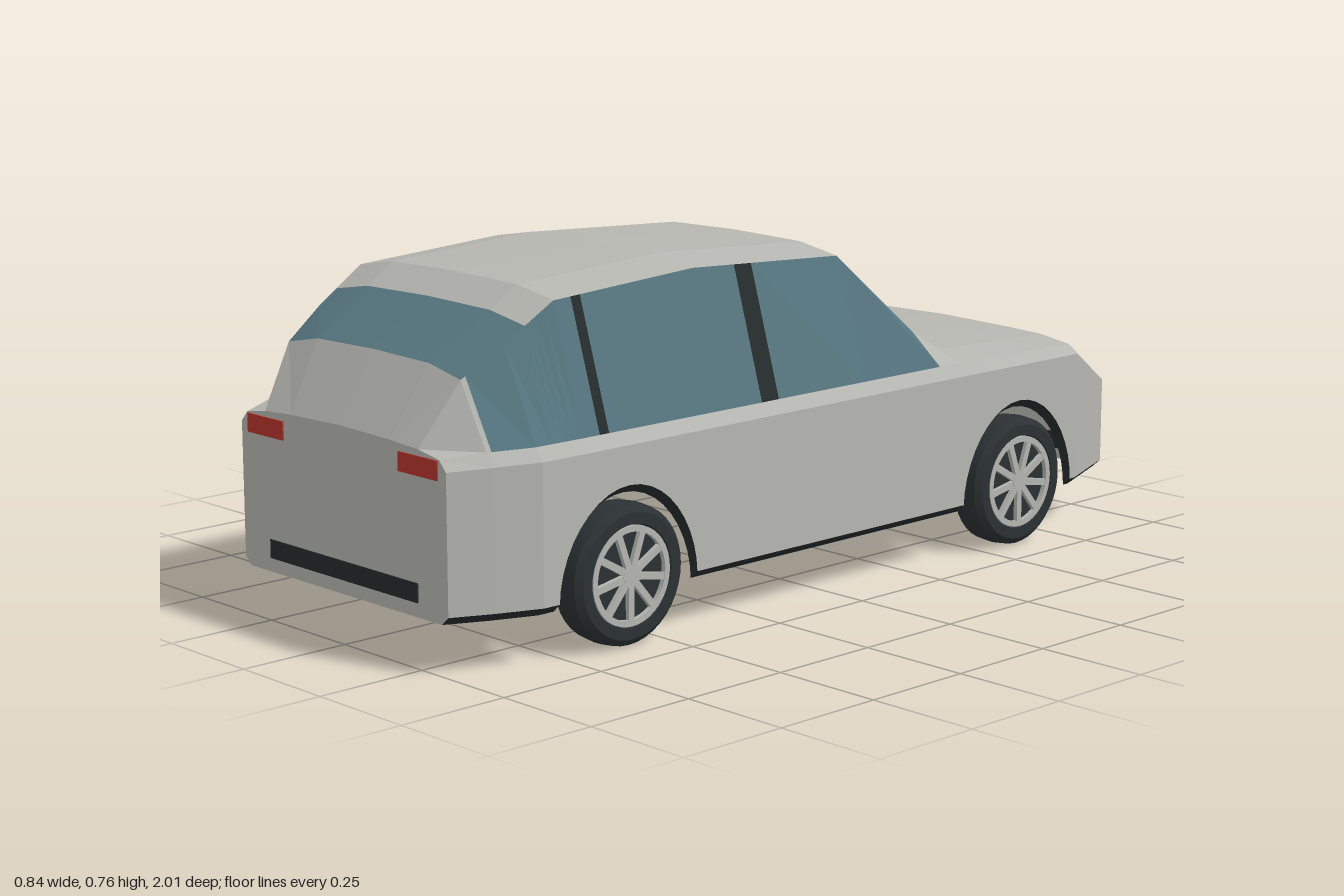
import * as THREE from 'three';
import { toCreasedNormals } from 'three/addons/utils/BufferGeometryUtils.js';

const material = (name, color, side = THREE.FrontSide) => {
  const m = new THREE.MeshStandardMaterial({ color, side });
  m.name = name;
  return m;
};

// Body stations along z: z, width, belt y, shoulder x, shoulder y, roof edge x, roof edge y, centre y
const STATIONS = [
  [-1.00, 0.335, 0.320, 0.315, 0.333, 0.250, 0.343, 0.350],
  [-0.81, 0.412, 0.418, 0.388, 0.437, 0.305, 0.450, 0.458],
  [-0.42, 0.415, 0.420, 0.395, 0.447, 0.310, 0.464, 0.477],
  [-0.11, 0.415, 0.420, 0.395, 0.447, 0.310, 0.713, 0.736],
  [0.32, 0.415, 0.420, 0.395, 0.447, 0.310, 0.735, 0.758],
  [0.70, 0.415, 0.420, 0.395, 0.447, 0.310, 0.713, 0.736],
  [0.82, 0.412, 0.420, 0.392, 0.447, 0.300, 0.639, 0.661],
  [0.915, 0.375, 0.418, 0.355, 0.445, 0.280, 0.578, 0.602],
  [1.00, 0.335, 0.415, 0.315, 0.437, 0.250, 0.448, 0.457],
];
const AXLES = [0.593, -0.607];
const ARCH = 0.187;

// Lower edge of the body side, rising over the wheels
function bottomY(z) {
  for (const c of AXLES) {
    const d = (z - c) / ARCH;
    if (Math.abs(d) < 1) return 0.125 + 0.213 * Math.pow(1 - d * d, 0.55);
  }
  return 0.125;
}

// Half cross-section from sill lip up to the roof centre
function section(z) {
  let i = 0;
  while (i < STATIONS.length - 2 && z > STATIONS[i + 1][0]) i++;
  const a = STATIONS[i], b = STATIONS[i + 1];
  const t = (z - a[0]) / (b[0] - a[0]);
  const [, w, belt, s, sy, r, ry, top] = a.map((v, k) => v + (b[k] - v) * t);
  const yb = bottomY(z);
  return [[w - 0.02, yb - 0.018], [w, yb], [w, belt], [s, sy], [r, ry], [r * 0.65, top - 0.004], [0, top]]
    .map(([x, y]) => new THREE.Vector3(x, y, z));
}

// All z positions where the surface may bend
const BREAKS = STATIONS.map((s) => s[0]);
for (const c of AXLES)
  for (let i = 0; i <= 20; i++) BREAKS.push(c - ARCH * Math.cos((Math.PI * i) / 20));
BREAKS.sort((a, b) => a - b);

function facets(triangles) {
  const g = new THREE.BufferGeometry().setFromPoints(triangles);
  g.computeVertexNormals();
  return g;
}

const flip = (p) => new THREE.Vector3(-p.x, p.y, p.z);

// Mirrored skin between two z positions and two section points
function patch(z0, z1, j0, j1) {
  const zs = [z0, ...BREAKS.filter((z) => z > z0 + 1e-4 && z < z1 - 1e-4), z1];
  const tris = [];
  for (let i = 0; i < zs.length - 1; i++) {
    const p = section(zs[i]), q = section(zs[i + 1]);
    for (let j = j0; j < j1; j++) {
      const a = p[j], b = q[j], c = q[j + 1], d = p[j + 1];
      tris.push(a, d, c, a, c, b);
      tris.push(...[a, c, d, a, b, c].map(flip));
    }
  }
  return facets(tris);
}

// Flat cap closing the shell at one end
function endCap(z) {
  const half = section(z);
  const loop = [...half, ...half.slice(0, -1).reverse().map(flip)];
  const mid = new THREE.Vector3(0, 0.25, z);
  const tris = [];
  loop.forEach((p, i) => {
    const n = loop[(i + 1) % loop.length];
    tris.push(mid, ...(z > 0 ? [p, n] : [n, p]));
  });
  return facets(tris);
}

export function createModel() {
  const car = new THREE.Group();
  car.name = 'car';
  const paint = material('body paint', 0xb6b6b1, THREE.DoubleSide);
  const glass = material('window glass', 0x567680, THREE.DoubleSide);
  const trim = material('dark trim', 0x262c2d, THREE.DoubleSide);
  const rubber = material('tyre rubber', 0x2b3133);
  const alloy = material('wheel alloy', 0xb4b6b0);
  const red = material('tail light red', 0xb8352c);

  const add = (name, geometry, mat, parent = car) => {
    const m = new THREE.Mesh(geometry, mat);
    m.name = name;
    parent.add(m);
    return m;
  };

  // Lower body
  add('bodySides', patch(-1, 1, 1, 3), paint);
  add('sillLip', patch(-1, 1, 0, 1), trim);
  add('noseFace', endCap(-1), paint);
  add('tailFace', endCap(1), paint);

  // Bonnet, windscreen, roof, rear window and tailgate
  add('bonnet', patch(-1, -0.42, 4, 6), paint);
  add('windscreen', patch(-0.42, -0.155, 4, 6), glass);
  add('roof', patch(-0.155, 0.77, 4, 6), paint);
  add('rearWindow', patch(0.77, 0.915, 4, 6), glass);
  add('tailgate', patch(0.915, 1, 4, 6), paint);

  // Cabin sides: wings, glass and pillars
  add('frontWings', patch(-1, -0.355, 3, 4), paint);
  add('frontSideWindows', patch(-0.355, 0.15, 3, 4), glass);
  add('middlePillars', patch(0.15, 0.2, 3, 4), trim);
  add('rearDoorWindows', patch(0.2, 0.63, 3, 4), glass);
  add('rearPillars', patch(0.63, 0.655, 3, 4), trim);
  add('quarterWindows', patch(0.655, 0.905, 3, 4), glass);
  add('rearCorners', patch(0.905, 1, 3, 4), paint);

  // Thin plates on the nose and tail
  const plate = (name, mat, x, y, z, w, h) =>
    add(name, new THREE.BoxGeometry(w, h, 0.006), mat).position.set(x, y, z);
  plate('rearBumperVent', trim, 0, 0.157, 1, 0.486, 0.04);
  plate('lowerGrille', trim, 0, 0.152, -1, 0.486, 0.04);
  plate('upperGrille', trim, 0, 0.29, -1, 0.39, 0.03);
  for (const s of [-1, 1]) plate('tailLight', red, s * 0.25, 0.415, 1, 0.122, 0.04);

  // Wheels, built with the axle along y and the outer face up
  const tyreProfile = [[0, -0.034], [0.104, -0.034], [0.108, -0.042], [0.132, -0.042], [0.146, -0.03], [0.149, 0],
    [0.146, 0.03], [0.132, 0.042], [0.108, 0.042], [0.104, 0.03], [0, 0.03]].map(([x, y]) => new THREE.Vector2(x, y));
  const tyre = toCreasedNormals(new THREE.LatheGeometry(tyreProfile, 40), 0.5);
  const ring = toCreasedNormals(new THREE.LatheGeometry(
    [[0.092, 0.028], [0.105, 0.028], [0.105, 0.041], [0.092, 0.041], [0.092, 0.028]]
      .map(([x, y]) => new THREE.Vector2(x, y)), 40), 0.5);
  const hub = new THREE.CylinderGeometry(0.022, 0.022, 0.012, 20);
  const spoke = new THREE.BoxGeometry(0.08, 0.01, 0.015);
  for (const side of [-1, 1]) {
    for (const z of AXLES) {
      const wheel = new THREE.Group();
      wheel.name = `${side > 0 ? 'left' : 'right'}${z < 0 ? 'Bonnet' : 'Tail'}Wheel`;
      add('tyre', tyre, rubber, wheel);
      add('rimRing', ring, alloy, wheel);
      add('hub', hub, alloy, wheel).position.y = 0.035;
      for (let i = 0; i < 9; i++) {
        const a = (i / 9) * Math.PI * 2;
        const m = add('spoke', spoke, alloy, wheel);
        m.position.set(Math.cos(a) * 0.056, 0.035, Math.sin(a) * 0.056);
        m.rotation.y = -a;
      }
      wheel.rotation.z = -side * Math.PI / 2;
      wheel.position.set(side * 0.379, 0.15, z);
      car.add(wheel);
    }
  }
  return car;
}
